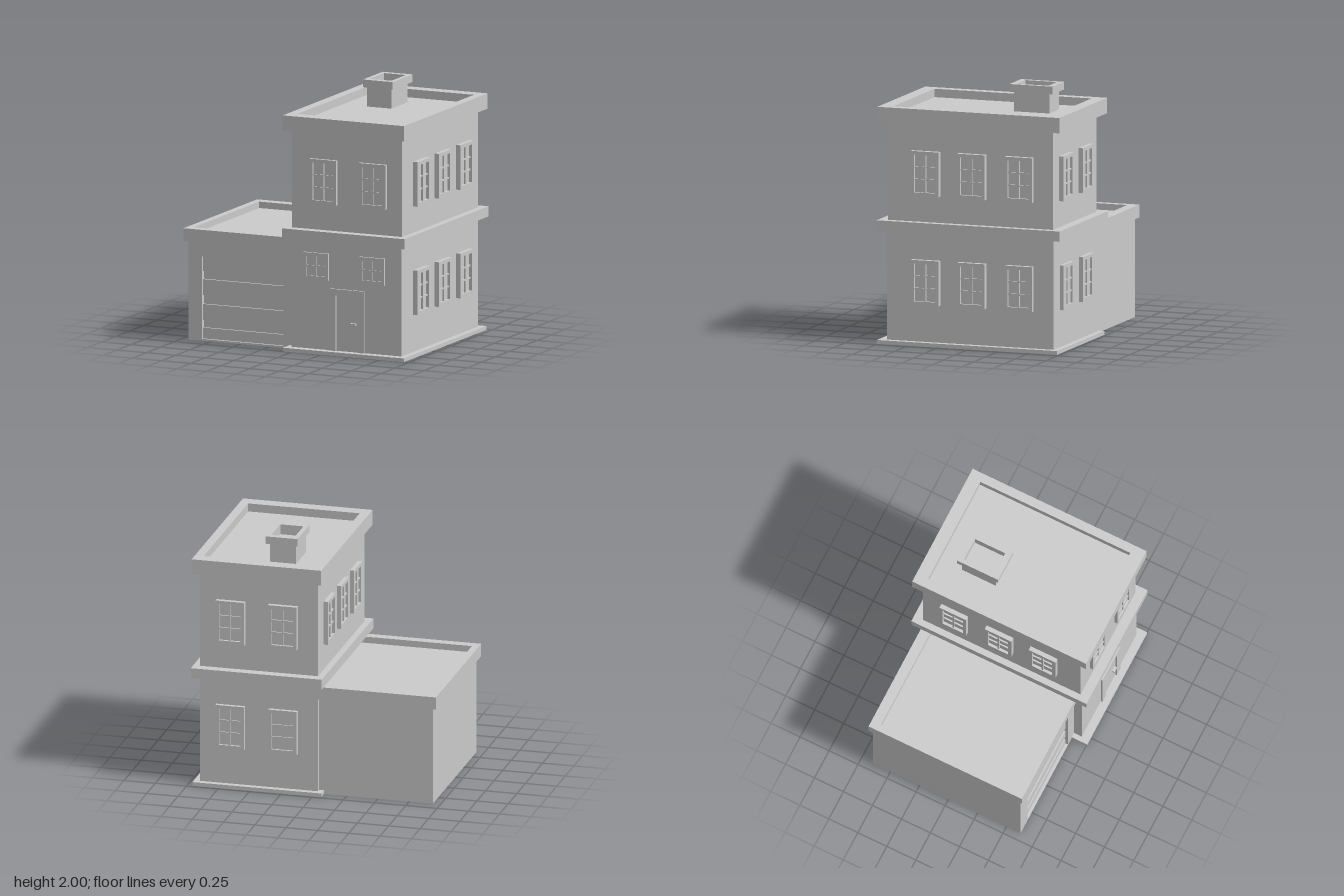
import * as THREE from 'three';

const solid = new THREE.MeshStandardMaterial({ color: 0xcccccc });
const thin = new THREE.MeshStandardMaterial({ color: 0xcccccc, side: THREE.DoubleSide });

function add(parent, name, geometry, material = solid) {
  const mesh = new THREE.Mesh(geometry, material);
  mesh.name = name;
  parent.add(mesh);
  return mesh;
}

// Box from its limits on each axis
function box(parent, name, x0, x1, y0, y1, z0, z1) {
  const g = new THREE.BoxGeometry(x1 - x0, y1 - y0, z1 - z0);
  g.translate((x0 + x1) / 2, (y0 + y1) / 2, (z0 + z1) / 2);
  return add(parent, name, g);
}

function outline(Type, [x0, x1, y0, y1]) {
  return new Type([[x0, y0], [x1, y0], [x1, y1], [x0, y1]].map(p => new THREE.Vector2(...p)));
}

function plate(outer, hole) {
  const shape = outline(THREE.Shape, outer);
  if (hole) shape.holes.push(outline(THREE.Path, hole));
  return shape;
}

// Upright frame facing +z
function frame(parent, name, outer, hole, z0, z1) {
  const g = new THREE.ExtrudeGeometry(plate(outer, hole), { depth: z1 - z0, bevelEnabled: false });
  g.translate(0, 0, z0);
  return add(parent, name, g);
}

// Horizontal ring; outer and hole are [x0, x1, z0, z1]
function ring(parent, name, outer, hole, y0, y1) {
  const flip = ([x0, x1, z0, z1]) => [x0, x1, -z1, -z0];
  const g = new THREE.ExtrudeGeometry(plate(flip(outer), flip(hole)), { depth: y1 - y0, bevelEnabled: false });
  g.rotateX(-Math.PI / 2);
  g.translate(0, y0, 0);
  return add(parent, name, g);
}

// Thin walls round a plan, with an optional opening in the front one
function walls(parent, name, [x0, x1, z0, z1], y0, y1, opening, openRight) {
  const group = new THREE.Group();
  group.name = name;
  const front = new THREE.ShapeGeometry(plate([x0, x1, y0, y1], opening));
  add(group, 'frontWall', front.translate(0, 0, z1), thin);
  const back = new THREE.PlaneGeometry(x1 - x0, y1 - y0).rotateY(Math.PI);
  add(group, 'backWall', back.translate((x0 + x1) / 2, (y0 + y1) / 2, z0), thin);
  const side = (label, x, s) => add(group, label, new THREE.PlaneGeometry(z1 - z0, y1 - y0)
    .rotateY(s * Math.PI / 2).translate(x, (y0 + y1) / 2, (z0 + z1) / 2), thin);
  side('rightHandWall', x0, -1);
  if (!openRight) side('leftHandWall', x1, 1);
  parent.add(group);
}

// Window facing +z with its back at z = 0: frame, pane and glazing bars
function makeWindow(w, h, d, rows) {
  const group = new THREE.Group();
  group.name = 'window';
  const b = 0.028, iw = w / 2 - b, ih = h / 2 - b, t = 0.006;
  frame(group, 'windowFrame', [-w / 2, w / 2, -h / 2, h / 2], [-iw, iw, -ih, ih], 0, d);
  box(group, 'pane', -iw, iw, -ih, ih, 0, d * 0.4);
  box(group, 'uprightBar', -t, t, -ih, ih, d * 0.4, d * 0.8);
  for (let i = 1; i < rows; i++) {
    const y = -ih + 2 * ih * i / rows;
    box(group, 'crossBar', -iw, iw, y - t, y + t, d * 0.4, d * 0.75);
  }
  return group;
}

export function createModel() {
  const model = new THREE.Group();
  model.name = 'house';

  // Two-storey block
  const lower = [-0.03, 0.91, -0.685, 0.69];
  const upper = [-0.03, 0.91, -0.68, 0.68];
  walls(model, 'lowerStorey', lower, 0, 0.9, [0.355, 0.54, 0.01, 0.465]);
  walls(model, 'upperStorey', upper, 0.9, 1.74);
  ring(model, 'plinth', [-0.07, 0.96, -0.73, 0.755], lower, 0, 0.03);
  ring(model, 'storeyBand', [-0.08, 0.965, -0.755, 0.755], upper, 0.885, 0.965);
  const roofHole = [0, 0.89, -0.65, 0.645];
  ring(model, 'cornice', [-0.075, 0.96, -0.75, 0.75], roofHole, 1.73, 1.85);
  box(model, 'roof', 0, 0.89, 1.76, 1.785, -0.65, 0.645);

  // Chimney with a hollow cap
  const flue = [0.22, 0.405, -0.45, -0.19];
  ring(model, 'chimneyShaft', [0.205, 0.415, -0.46, -0.17], flue, 1.785, 1.945);
  ring(model, 'chimneyCap', [0.185, 0.44, -0.495, -0.14], flue, 1.94, 2);
  box(model, 'flueFloor', 0.22, 0.405, 1.9, 1.92, -0.45, -0.19);

  // Windows
  const place = (w, h, d, rows, x, y, z, turn) => {
    const win = makeWindow(w, h, d, rows);
    win.position.set(x, y, z);
    win.rotation.y = turn;
    model.add(win);
  };
  for (const x of [0.245, 0.665]) {
    place(0.23, 0.35, 0.025, 3, x, 1.345, 0.68, 0);
    place(0.23, 0.35, 0.035, 3, x, 1.345, -0.68, Math.PI);
    place(0.23, 0.35, 0.03, 3, x, 0.495, -0.685, Math.PI);
  }
  for (const x of [0.185, 0.663]) place(0.213, 0.21, 0.016, 2, x, 0.68, 0.69, 0);
  for (const z of [0.365, -0.015, -0.405]) {
    place(0.23, 0.35, 0.037, 3, 0.91, 1.345, z, Math.PI / 2);
    place(0.23, 0.35, 0.037, 3, 0.91, 0.495, z, Math.PI / 2);
    place(0.23, 0.35, 0.035, 3, -0.03, 1.345, z, -Math.PI / 2);
  }

  // Front door
  frame(model, 'doorFrame', [0.295, 0.6, 0, 0.515], [0.355, 0.54, 0.01, 0.465], 0.672, 0.705);
  box(model, 'door', 0.355, 0.54, 0.01, 0.465, 0.675, 0.692);
  box(model, 'doorHandle', 0.48, 0.525, 0.243, 0.257, 0.692, 0.715);

  // Garage
  const doorway = [-0.825, -0.13, 0.015, 0.66];
  walls(model, 'garageWalls', [-0.94, -0.03, -0.65, 0.622], 0, 0.78, doorway, true);
  ring(model, 'garageCornice', [-0.97, -0.03, -0.675, 0.648], [-0.915, -0.035, -0.595, 0.575], 0.775, 0.875);
  box(model, 'garageRoof', -0.915, -0.03, 0.79, 0.825, -0.595, 0.575);

  // Garage door: deep-set sheet with raised slats
  frame(model, 'garageDoorJamb', [-0.83, -0.125, 0.01, 0.665], doorway, 0.58, 0.621);
  box(model, 'garageDoorSheet', -0.825, -0.13, 0.015, 0.66, 0.575, 0.582);
  for (const [y0, y1] of [[0.015, 0.1], [0.16, 0.285], [0.355, 0.48], [0.545, 0.66]]) {
    box(model, 'garageDoorSlat', -0.825, -0.13, y0, y1, 0.57, 0.6);
  }
  return model;
}
